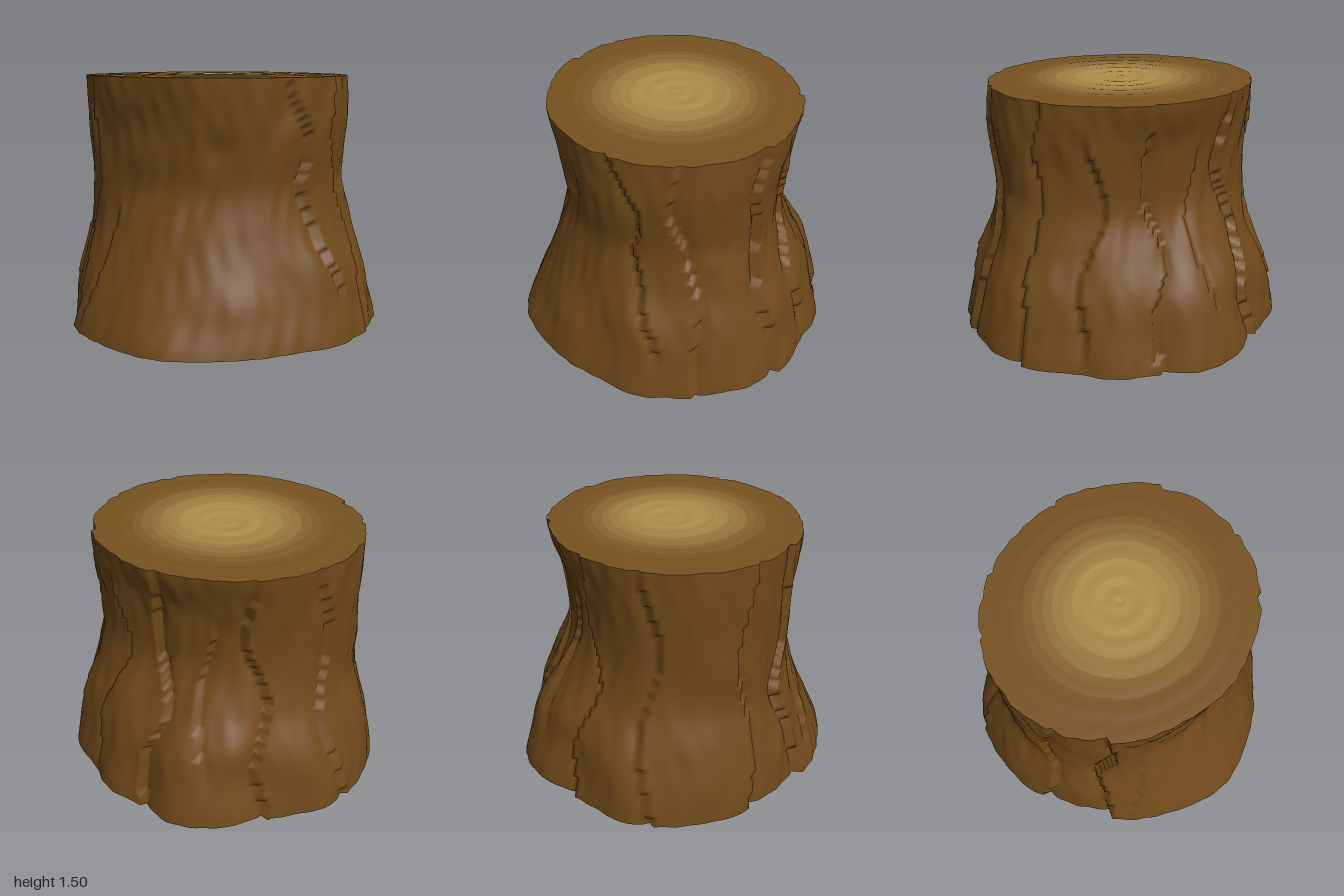
import * as THREE from 'three';

const TOP = 1.5, SEG = 200, ROWS = 70;
const { lerp, smoothstep, clamp } = THREE.MathUtils;

// Trunk radius at evenly spaced heights towards +x, +z, -x and -z
const SIDES = [
  [0.97, 0.93, 0.88, 0.80, 0.76, 0.77, 0.79, 0.78],
  [0.99, 0.90, 0.80, 0.72, 0.66, 0.68, 0.71, 0.74],
  [0.97, 0.94, 0.88, 0.81, 0.80, 0.80, 0.81, 0.81],
  [0.99, 0.93, 0.86, 0.73, 0.63, 0.63, 0.67, 0.73],
];
// Root flare outline at the ground, every 15 degrees from +x towards +z
const FOOT = [0.97, 0.97, 0.97, 0.93, 0.95, 0.97, 0.99, 0.97, 0.95, 0.93, 0.89, 0.92,
  0.97, 0.98, 1.0, 0.95, 0.92, 0.97, 0.99, 0.92, 0.95, 0.93, 0.97, 0.98];

// Bark furrows: [degrees, height] pairs, depth and the side that overlaps
const FURROWS = [
  { p: [[-27, 0], [-27, 0.2], [-23, 0.5], [-26, 1.0], [-23, 1.2], [-28, 1.5]], d: 0.05, s: 1 },
  { p: [[7, 0], [6, 0.25], [3, 0.6], [8, 0.9], [15, 1.2], [12, 1.5]], d: 0.035, s: -1 },
  { p: [[19, 0.25], [26, 0.6], [31, 0.9], [27, 1.1], [40, 1.5]], d: 0.04, s: 1 },
  { p: [[139, 0], [141, 0.3], [146, 0.6], [137, 0.95], [140, 1.5]], d: 0.055, s: 1 },
  { p: [[130, 0.1], [125, 0.5], [123, 0.75]], d: 0.025, s: 1 },
  { p: [[168, 0], [164, 0.4], [170, 0.9], [163, 1.5]], d: 0.035, s: -1 },
  { p: [[-124, 0], [-120, 0.3], [-128, 0.7], [-118, 1.1], [-122, 1.5]], d: 0.05, s: 1 },
  { p: [[-76, 0], [-74, 0.3], [-82, 0.6], [-72, 1.0], [-77, 1.5]], d: 0.045, s: -1 },
  { p: [[-50, 0.1], [-46, 0.5], [-55, 0.9], [-47, 1.3]], d: 0.04, s: 1 },
  { p: [[-100, 0.3], [-96, 0.7], [-104, 1.2]], d: 0.03, s: -1 },
  { p: [[-155, 0], [-150, 0.5], [-158, 1.0], [-150, 1.5]], d: 0.035, s: 1 },
];

// Soft lumps: degrees, height, angular and vertical spread, bulge
const LUMPS = [
  [-13, 0.72, 9, 0.16, 0.03], [-4, 0.82, 4, 0.06, 0.015], [25, 0.45, 8, 0.18, 0.02],
  [108, 1.22, 12, 0.12, -0.02], [70, 1.1, 6, 0.1, -0.025], [62, 0.3, 12, 0.12, 0.015],
  [-60, 0.6, 10, 0.15, 0.025], [-110, 0.45, 9, 0.15, 0.025], [-140, 0.35, 10, 0.2, 0.02],
  [-90, 1.25, 9, 0.1, -0.015], [152, 0.25, 6, 0.15, 0.02], [40, 1.3, 8, 0.1, -0.015],
];

const wrap = (deg) => ((deg + 540) % 360) - 180;

// Smooth interpolation through evenly spaced values
function sample(values, u, closed) {
  const n = values.length, i = Math.floor(u), t = u - i;
  const at = (k) => values[closed ? (k + n) % n : clamp(k, 0, n - 1)];
  const [a, b, c, d] = [at(i - 1), at(i), at(i + 1), at(i + 2)];
  return b + 0.5 * t * (c - a + t * (2 * a - 5 * b + 4 * c - d + t * (3 * (b - c) + d - a)));
}

function furrowAngle(p, y) {
  let i = 0;
  while (i < p.length - 2 && y > p[i + 1][1]) i++;
  const t = clamp((y - p[i][1]) / (p[i + 1][1] - p[i][1]), 0, 1);
  return lerp(p[i][0], p[i + 1][0], t * t * (3 - 2 * t));
}

function barkRadius(a, y) {
  const deg = THREE.MathUtils.radToDeg(a), c = Math.cos(a), s = Math.sin(a);
  const blend = (u) => c * c * sample(SIDES[c > 0 ? 0 : 2], u) + s * s * sample(SIDES[s > 0 ? 1 : 3], u);
  const flare = sample(FOOT, (((deg + 360) % 360) / 15) % 24, true) - blend(0);
  let r = blend((y / TOP) * 7) + flare * (1 - smoothstep(y, 0, 0.95));

  // A furrow is a sharp step: raised lip on one side, hollow on the other
  for (const { p, d, s: side } of FURROWS) {
    const x = wrap(deg - furrowAngle(p, y)) * side;
    const first = p[0][1], last = p[p.length - 1][1];
    const fade = (first > 0 ? smoothstep(y, first - 0.1, first + 0.1) : 1)
      * (last < 1.5 ? 1 - smoothstep(y, last - 0.1, last + 0.1) : lerp(1, 0.5, smoothstep(y, 1.2, 1.5)));
    r += d * fade * (x > 0 ? -Math.exp(-x / 3.5) : 0.35 * Math.exp(x / 5));
  }
  for (const [la, ly, wa, wy, h] of LUMPS) {
    r += h * Math.exp(-((wrap(deg - la) / wa) ** 2) - ((y - ly) / wy) ** 2);
  }
  // Fine vertical grain
  r += 0.004 * Math.sin(38 * a + 2 * Math.sin(7 * y)) * Math.sin(9 * y + 5 * a);
  r += 0.005 * Math.sin(13 * a + 3 * Math.sin(4 * y + 2 * a));
  return r;
}

// Closed band around the trunk; at(angle, t) gives a point for t from 0 to 1
function band(name, color, rows, at) {
  const pos = [], index = [];
  for (let j = 0; j <= rows; j++) {
    for (let i = 0; i < SEG; i++) {
      pos.push(...at((i / SEG) * Math.PI * 2, j / rows));
      if (j === rows) continue;
      const a = j * SEG + i, b = j * SEG + ((i + 1) % SEG);
      index.push(a, a + SEG, b, b, a + SEG, b + SEG);
    }
  }
  const geo = new THREE.BufferGeometry();
  geo.setAttribute('position', new THREE.Float32BufferAttribute(pos, 3));
  geo.setIndex(index);
  geo.computeVertexNormals();
  const mesh = new THREE.Mesh(geo, new THREE.MeshStandardMaterial({ color }));
  mesh.name = name;
  return mesh;
}

// Point on a cut face, k = 1 at the rim and 0 at the centre
function facePoint(a, k, y, lift) {
  const r = barkRadius(a, y);
  const even = lerp(0.75, r, k * k) * k;
  return [Math.cos(a) * even, y + lift, Math.sin(a) * even];
}

export function createModel() {
  const stump = new THREE.Group();
  stump.name = 'treeStump';

  stump.add(band('bark', 0x70491a, ROWS, (a, t) => {
    const y = 0.01 + t * (TOP - 0.01), r = barkRadius(a, y);
    return [Math.cos(a) * r, y, Math.sin(a) * r];
  }));

  // Sawn top: rings of wood growing paler towards the heart
  const sawnTop = new THREE.Group();
  sawnTop.name = 'sawnTop';
  const RINGS = 14, edge = new THREE.Color(0x775220), heart = new THREE.Color(0xac8f4c);
  for (let i = 0; i < RINGS; i++) {
    const outer = 1 - i / RINGS, inner = 1 - (i + 1) / RINGS;
    const color = edge.clone().lerp(heart, 1 - smoothstep(outer, 0.25, 0.85));
    sawnTop.add(band('woodRing', color, 3, (a, t) => {
      const k = lerp(outer, inner, t);
      const lift = (1 - k) * k * 0.03 + 0.003 * Math.sin(k * 40 + Math.sin(a)) * (1 - k ** 4);
      return facePoint(a, k, TOP, lift);
    }));
  }
  stump.add(sawnTop);

  // Underside, slightly hollow
  stump.add(band('underside', 0x6b4c20, 16, (a, t) =>
    facePoint(a, t, 0.01, 0.015 * (1 - t * t))));

  return stump;
}
